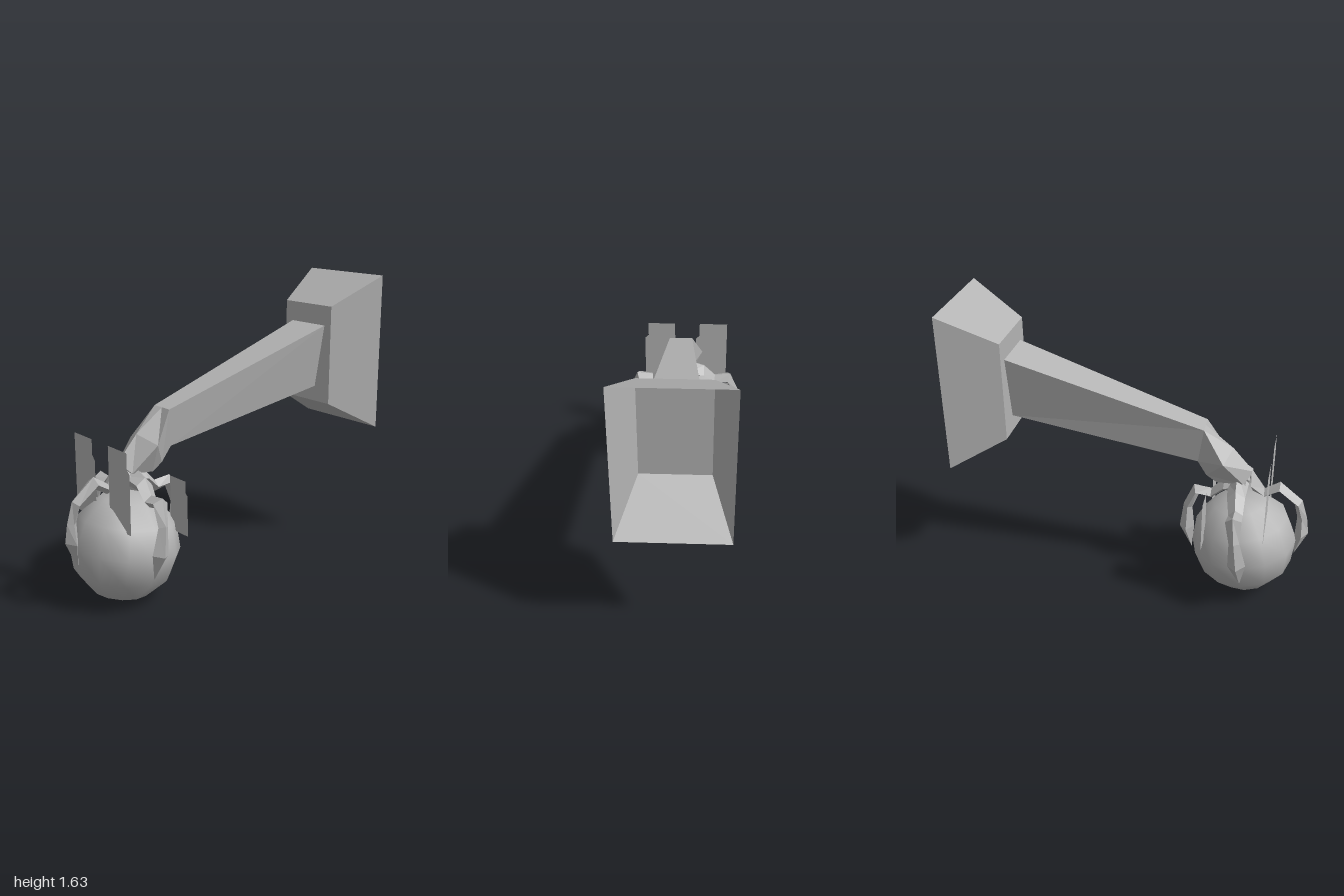
import * as THREE from 'three';

const metal = new THREE.MeshStandardMaterial({ color: 0xb4b4b4, side: THREE.DoubleSide });
metal.name = 'grey metal';

// Faceted skin through rings of equal point count; the last ring may be closed with a cap
function loft(name, rings, cap = false) {
  const pos = [];
  const tri = (a, b, c) => pos.push(...a, ...b, ...c);
  const n = rings[0].length;
  for (let i = 0; i < rings.length - 1; i++) {
    for (let j = 0; j < n; j++) {
      const k = (j + 1) % n;
      const [a, b, c, d] = [rings[i][j], rings[i][k], rings[i + 1][k], rings[i + 1][j]];
      tri(a, b, c);
      tri(a, c, d);
    }
  }
  if (cap) {
    const r = rings[rings.length - 1];
    for (let j = 1; j < n - 1; j++) tri(r[0], r[j], r[j + 1]);
  }
  const geo = new THREE.BufferGeometry();
  geo.setAttribute('position', new THREE.Float32BufferAttribute(pos, 3));
  geo.computeVertexNormals();
  const mesh = new THREE.Mesh(geo, metal);
  mesh.name = name;
  return mesh;
}

const rect = (w, y0, y1, z) => [[-w, y0, z], [w, y0, z], [w, y1, z], [-w, y1, z]];

// Claw finger: diamond sections [outer r, outer y, inner r, inner y, half width], running along +z
function claw(name, sections) {
  return loft(name, sections.map(([ro, yo, ri, yi, w]) => {
    const rm = (ro + ri) / 2, ym = (yo + yi) / 2;
    return [[0, yo, ro], [w, ym, rm], [0, yi, ri], [-w, ym, rm]];
  }));
}

const frontProfile = [
  [0.02, 0.78, 0.03, 0.64, 0.07], [0.095, 0.665, 0.1, 0.61, 0.04],
  [0.18, 0.72, 0.18, 0.655, 0.05], [0.31, 0.615, 0.27, 0.58, 0.04],
  [0.345, 0.5, 0.29, 0.5, 0.026], [0.36, 0.4, 0.285, 0.39, 0.055],
  [0.29, 0.245, 0.29, 0.245, 0],
];
const sideProfile = [
  [0.0, 0.75, 0.02, 0.62, 0.06], [0.13, 0.7, 0.13, 0.62, 0.05],
  [0.2, 0.625, 0.2, 0.56, 0.04], [0.3, 0.635, 0.27, 0.575, 0.045],
  [0.355, 0.5, 0.305, 0.48, 0.03], [0.375, 0.34, 0.29, 0.35, 0.05],
  [0.3, 0.2, 0.3, 0.2, 0],
];

// Thin upright tag with a small step on its right edge
function tag(name, x0, x1, y0, y1, z) {
  const s = (x1 - x0) * 0.12, yn = y1 - (y1 - y0) * 0.2;
  const shape = new THREE.Shape([
    [x0, y0], [x1, y0], [x1, yn - s], [x1 - s, yn], [x1 - s, y1], [x0, y1],
  ].map(([x, y]) => new THREE.Vector2(x, y)));
  const mesh = new THREE.Mesh(new THREE.ShapeGeometry(shape), metal);
  mesh.position.z = z;
  mesh.name = name;
  return mesh;
}

export function createModel() {
  const model = new THREE.Group();
  model.name = 'wallLamp';

  // Hollow wall bracket, open at the back
  model.add(loft('wallBracket', [
    rect(0.29, 0.73, 1.64, -1), rect(0.185, 0.9, 1.475, -0.69),
  ], true));

  // Tapering arm
  const armEnd = [
    [-0.055, 1.02, 0.39], [0.01, 1.02, 0.39], [0.075, 1.02, 0.39],
    [0.045, 0.81, 0.36], [-0.035, 0.81, 0.36],
  ];
  model.add(loft('arm', [
    [[-0.13, 1.36, -0.69], [0, 1.36, -0.69], [0.135, 1.36, -0.69],
      [0.07, 0.99, -0.69], [-0.07, 0.99, -0.69]],
    armEnd,
  ]));

  // Bent wrist with a ridge along its front
  model.add(loft('wrist', [
    armEnd,
    [[-0.115, 0.85, 0.51], [0, 0.9, 0.55], [0.11, 0.85, 0.49],
      [0.03, 0.725, 0.41], [-0.03, 0.725, 0.41]],
    [[-0.06, 0.71, 0.62], [0, 0.765, 0.67], [0.06, 0.71, 0.62],
      [0.03, 0.685, 0.47], [-0.03, 0.685, 0.47]],
  ], true));

  // Globe, tipped slightly forward
  const globe = new THREE.Mesh(new THREE.SphereGeometry(0.3, 12, 6), metal);
  globe.name = 'globe';
  globe.position.set(0, 0.305, 0.64);
  globe.rotation.x = -0.14;
  model.add(globe);

  // Four claws gripping the globe
  const front = claw('frontClaw', frontProfile);
  front.position.z = 0.64;
  const back = claw('backClaw', sideProfile);
  back.position.z = 0.64;
  back.rotation.y = Math.PI;
  model.add(front, back);
  for (const side of [1, -1]) {
    const finger = claw(side > 0 ? 'leftClaw' : 'rightClaw', sideProfile);
    finger.rotation.y = side * Math.PI / 2;
    finger.scale.z = 0.97;
    const lean = new THREE.Group();
    lean.name = finger.name + 'Group';
    lean.rotation.x = -0.14;
    lean.position.set(0, 0.005, 0.685);
    lean.add(finger);
    model.add(lean);
  }

  // Flat hanging tags, two in front and two behind
  model.add(
    tag('frontLeftTag', 0.06, 0.25, 0.46, 0.89, 0.765),
    tag('frontRightTag', -0.265, -0.07, 0.46, 0.89, 0.765),
    tag('backLeftTag', 0.13, 0.28, 0.38, 0.68, 0.43),
    tag('backRightTag', -0.275, -0.12, 0.38, 0.68, 0.43),
  );
  return model;
}
